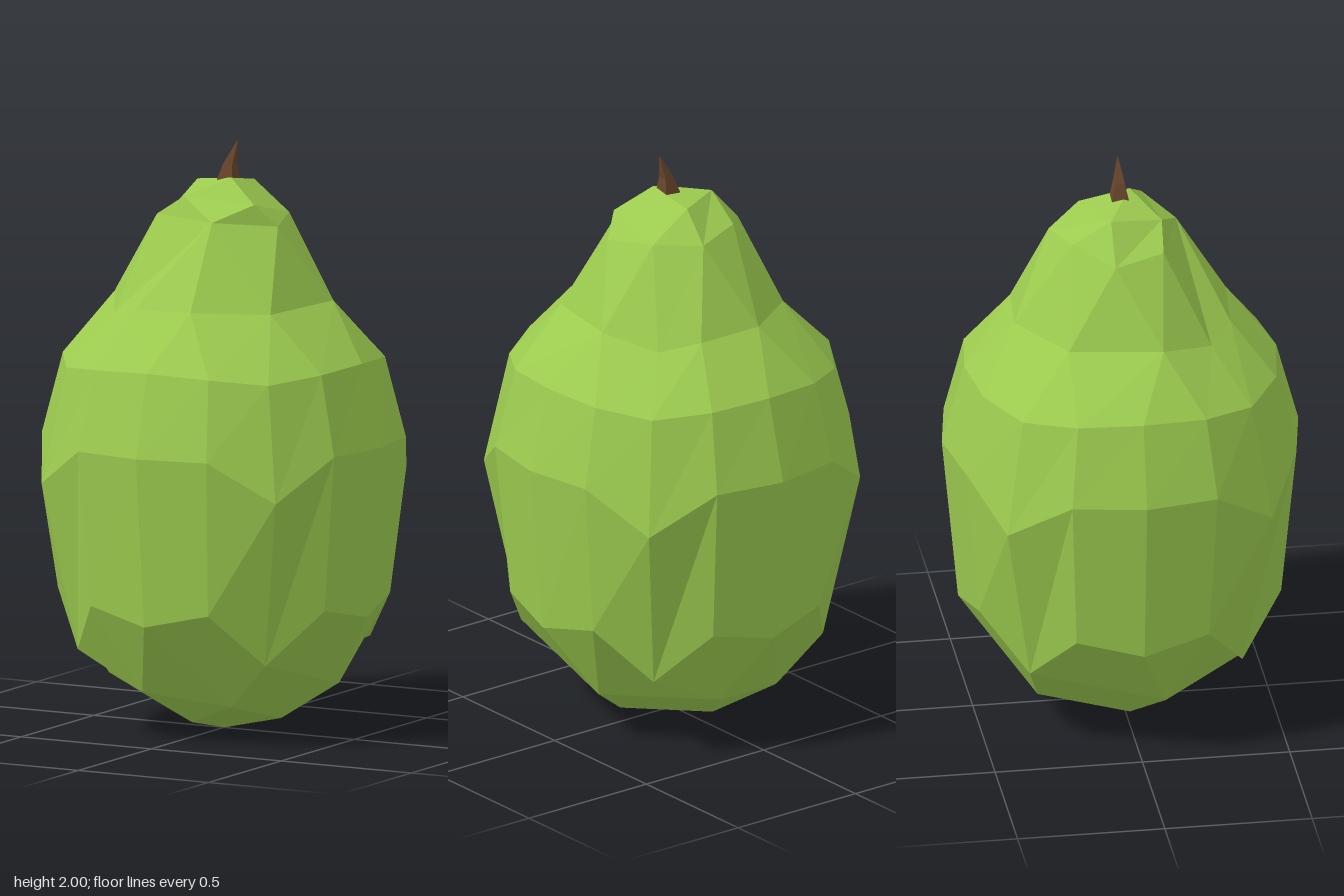
import * as THREE from 'three';

// Ring vertex from [angle in degrees from +x towards +z, radius, height]
const point = ([deg, r, y]) => {
  const a = THREE.MathUtils.degToRad(deg);
  return [r * Math.cos(a), y, r * Math.sin(a)];
};

// Sixteen-sided ring: axis, in-between and diagonal vertices repeat each quarter
function quarterRing(axis, between, diagonal) {
  const ring = [];
  for (let q = 0; q < 360; q += 90) {
    ring.push([q, ...axis], [q + 23.7, ...between], [q + 45, ...diagonal], [q + 66.3, ...between]);
  }
  return ring;
}

// Ring whose second half repeats the first, turned by 180 degrees
const halfRing = (half) => [...half, ...half.map(([a, r, y]) => [a + 180, r, y])];

// Join two rings with triangles, always advancing to the nearest next angle
function joinRings(lower, upper, out) {
  const close = (ring) => [...ring, [ring[0][0] + 360, ring[0][1], ring[0][2]]];
  const a = close(lower), b = close(upper);
  let i = 0, j = 0;
  while (i < a.length - 1 || j < b.length - 1) {
    const stepLower = j === b.length - 1 || (i < a.length - 1 && a[i + 1][0] <= b[j + 1][0]);
    const next = stepLower ? a[++i] : b[++j];
    const corners = stepLower ? [a[i - 1], b[j], next] : [a[i], b[j - 1], next];
    corners.forEach((c) => out.push(...point(c)));
  }
}

function fruitGeometry() {
  const rings = [
    // base
    [[0, 0.22, 0.05], [90, 0.22, 0.05], [180, 0.22, 0.05], [270, 0.22, 0.05]],
    halfRing([[-14, 0.4, 0.17], [57, 0.37, 0.13], [104, 0.4, 0.17]]),
    // belly
    quarterRing([0.55, 0.42], [0.56, 0.47], [0.51, 0.29]),
    quarterRing([0.605, 1.0], [0.613, 1.0], [0.636, 0.86]),
    // shoulder
    quarterRing([0.53, 1.28], [0.543, 1.27], [0.55, 1.25]),
    // neck
    halfRing([[-14, 0.38, 1.47], [36, 0.373, 1.46], [78, 0.379, 1.47], [113, 0.381, 1.46], [135, 0.382, 1.43]]),
    [[-35, 0.22, 1.75], [12, 0.24, 1.73], [72, 0.21, 1.75], [148, 0.225, 1.75],
      [192, 0.245, 1.73], [236, 0.216, 1.77], [282, 0.24, 1.75]],
    // crown
    [[30, 0.197, 1.805], [122, 0.153, 1.82], [201, 0.139, 1.85], [287, 0.141, 1.85]],
  ];
  const out = [];
  for (let k = 0; k < rings.length - 1; k++) joinRings(rings[k], rings[k + 1], out);

  // Close both ends with fans
  const first = rings[0], last = rings[rings.length - 1];
  first.forEach((p, k) => out.push(0, 0, 0, ...point(p), ...point(first[(k + 1) % first.length])));
  last.forEach((p, k) => out.push(...point(p), 0.05, 1.88, 0.04, ...point(last[(k + 1) % last.length])));

  const geometry = new THREE.BufferGeometry();
  geometry.setAttribute('position', new THREE.Float32BufferAttribute(out, 3));
  geometry.computeVertexNormals();
  return geometry;
}

// Square spike leaning towards its left
function stemGeometry() {
  const geometry = new THREE.CylinderGeometry(0.002, 0.048, 0.16, 4, 2).rotateY(Math.PI / 4);
  const pos = geometry.attributes.position;
  for (let i = 0; i < pos.count; i++) {
    const t = pos.getY(i) / 0.16 + 0.5;
    pos.setX(i, pos.getX(i) + 0.014 + 0.038 * t * t);
  }
  geometry.translate(0, 1.92, 0);
  const flat = geometry.toNonIndexed();
  flat.computeVertexNormals();
  return flat;
}

export function createModel() {
  const skin = new THREE.MeshStandardMaterial({ color: 0x9ccb4f, flatShading: true });
  skin.name = 'green skin';
  const bark = new THREE.MeshStandardMaterial({ color: 0x68452c, flatShading: true });
  bark.name = 'brown stem';

  const group = new THREE.Group();
  group.name = 'pear';
  const fruit = new THREE.Mesh(fruitGeometry(), skin);
  fruit.name = 'fruit';
  const stem = new THREE.Mesh(stemGeometry(), bark);
  stem.name = 'stem';
  group.add(fruit, stem);
  return group;
}
